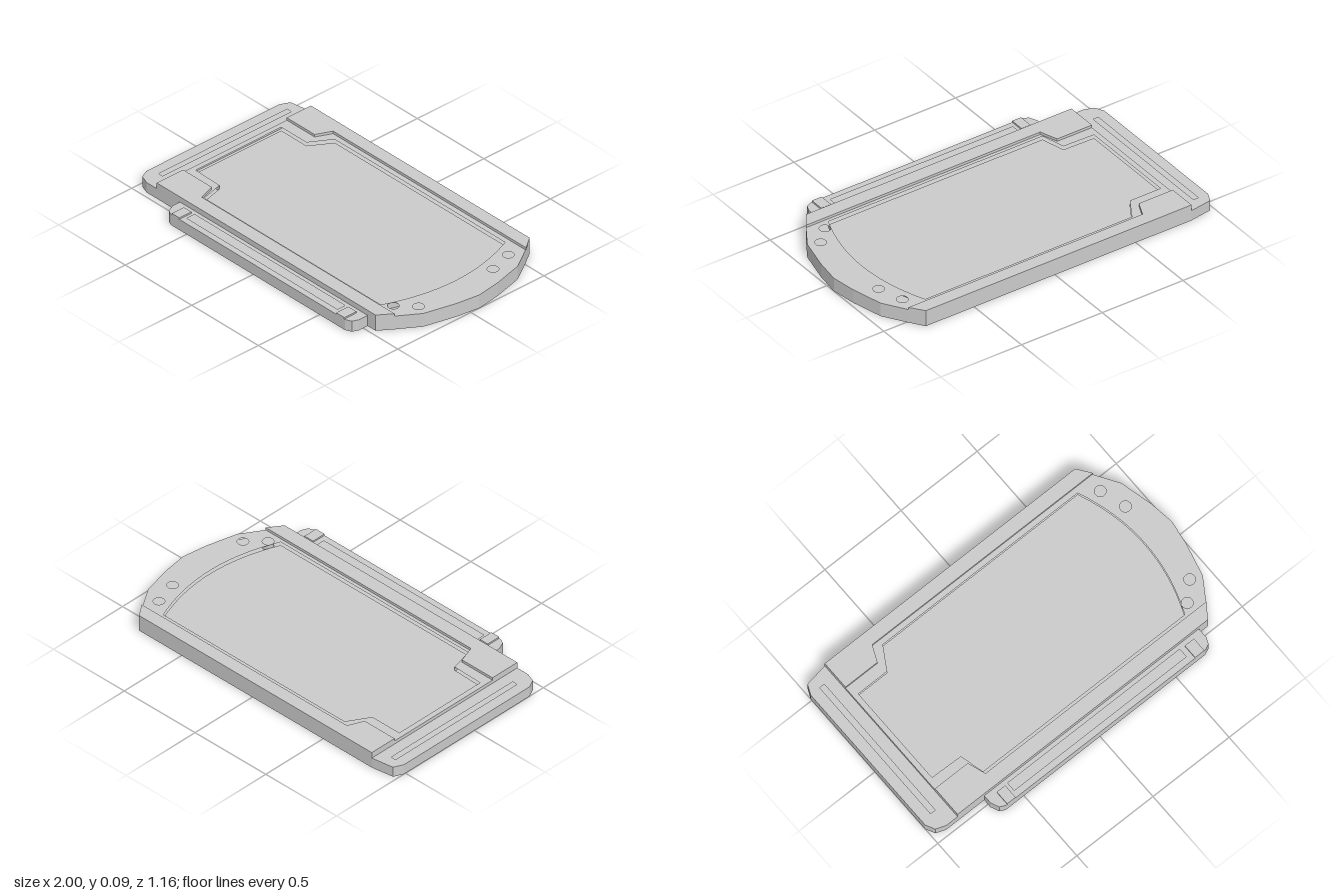
import * as THREE from 'three';

const material = new THREE.MeshStandardMaterial({ color: 0xcccccc, flatShading: true });

// Points are [x, z] in plan.
const toPoints = (pts) => pts.map(([x, z]) => new THREE.Vector2(x, -z));
const rect = (x0, x1, z0, z1) => [[x0, z0], [x1, z0], [x1, z1], [x0, z1]];

function circle(cx, cz, r, n = 24) {
  return Array.from({ length: n }, (_, i) => {
    const a = (i / n) * Math.PI * 2;
    return [cx + r * Math.cos(a), cz + r * Math.sin(a)];
  });
}

// Plan outline raised from y0 to y1, with optional openings
function layer(name, outline, y0, y1, holes = []) {
  const shape = new THREE.Shape(toPoints(outline));
  holes.forEach((h) => shape.holes.push(new THREE.Path(toPoints(h))));
  const geo = new THREE.ExtrudeGeometry(shape, { depth: y1 - y0, bevelEnabled: false });
  geo.rotateX(-Math.PI / 2).translate(0, y0, 0);
  const mesh = new THREE.Mesh(geo, material);
  mesh.name = name;
  return mesh;
}

export function createModel() {
  const model = new THREE.Group();
  model.name = 'tray';
  const floor = 0.045, stepX = -0.845;

  // Outline halves: rounded low end and bowed nose
  const lowEnd = [[stepX, 0.47], [-0.92, 0.47], [-0.975, 0.45], [-1, 0.4],
    [-1, -0.51], [-0.975, -0.565], [stepX, -0.585]];
  const nose = [[0.8, -0.585], [0.855, -0.505], [0.935, -0.38], [0.98, -0.2], [1, -0.06],
    [0.98, 0.08], [0.935, 0.265], [0.855, 0.39], [0.8, 0.47]];
  model.add(layer('base', [...lowEnd, ...nose], 0, floor));

  // Low end strip with its long slot
  model.add(layer('endStrip', lowEnd, floor, 0.06, [rect(-0.94, -0.91, -0.51, 0.37)]));

  // Sunken panel with a curved edge towards the nose
  const recess = [[-0.815, 0.23], [-0.815, -0.355], [-0.625, -0.355], [-0.55, -0.48]];
  for (let i = 0; i <= 16; i++) {
    const t = i / 16;
    recess.push([0.73 + 0.36 * t * (1 - t), -0.48 + 0.85 * t]);
  }
  recess.push([-0.595, 0.37], [-0.63, 0.235]);
  const pits = [[0.825, -0.415], [0.87, -0.27], [0.87, 0.24], [0.78, 0.33]]
    .map(([x, z]) => circle(x, z, 0.03));
  model.add(layer('deck', [[stepX, 0.47], [stepX, -0.585], ...nose], floor, 0.08, [recess, ...pits]));
  model.add(layer('panel', recess, floor, 0.06));

  // Raised rails, widened beside the low end
  model.add(layer('backRail', [[stepX, -0.585], [0.8, -0.585], [0.855, -0.51],
    [-0.595, -0.51], [-0.635, -0.42], [stepX, -0.42]], 0.08, 0.095));
  model.add(layer('frontRail', [[stepX, 0.47], [0.8, 0.47], [0.855, 0.39],
    [-0.595, 0.39], [-0.63, 0.29], [stepX, 0.29]], 0.08, 0.095));

  // Side ledge with a long channel and two small pads
  const ledge = [[-0.67, 0.47], [0.74, 0.47], [0.74, 0.53], [0.725, 0.565], [0.69, 0.58],
    [-0.62, 0.58], [-0.65, 0.565], [-0.67, 0.52]];
  model.add(layer('sideLedge', ledge, 0, floor));
  model.add(layer('sideLedgeTop', ledge, floor, 0.064, [rect(-0.535, 0.595, 0.493, 0.545)]));
  for (const [x0, x1] of [[-0.61, -0.555], [0.625, 0.685]]) {
    model.add(layer('ledgePad', rect(x0, x1, 0.497, 0.58), 0.064, 0.073));
  }
  return model;
}
